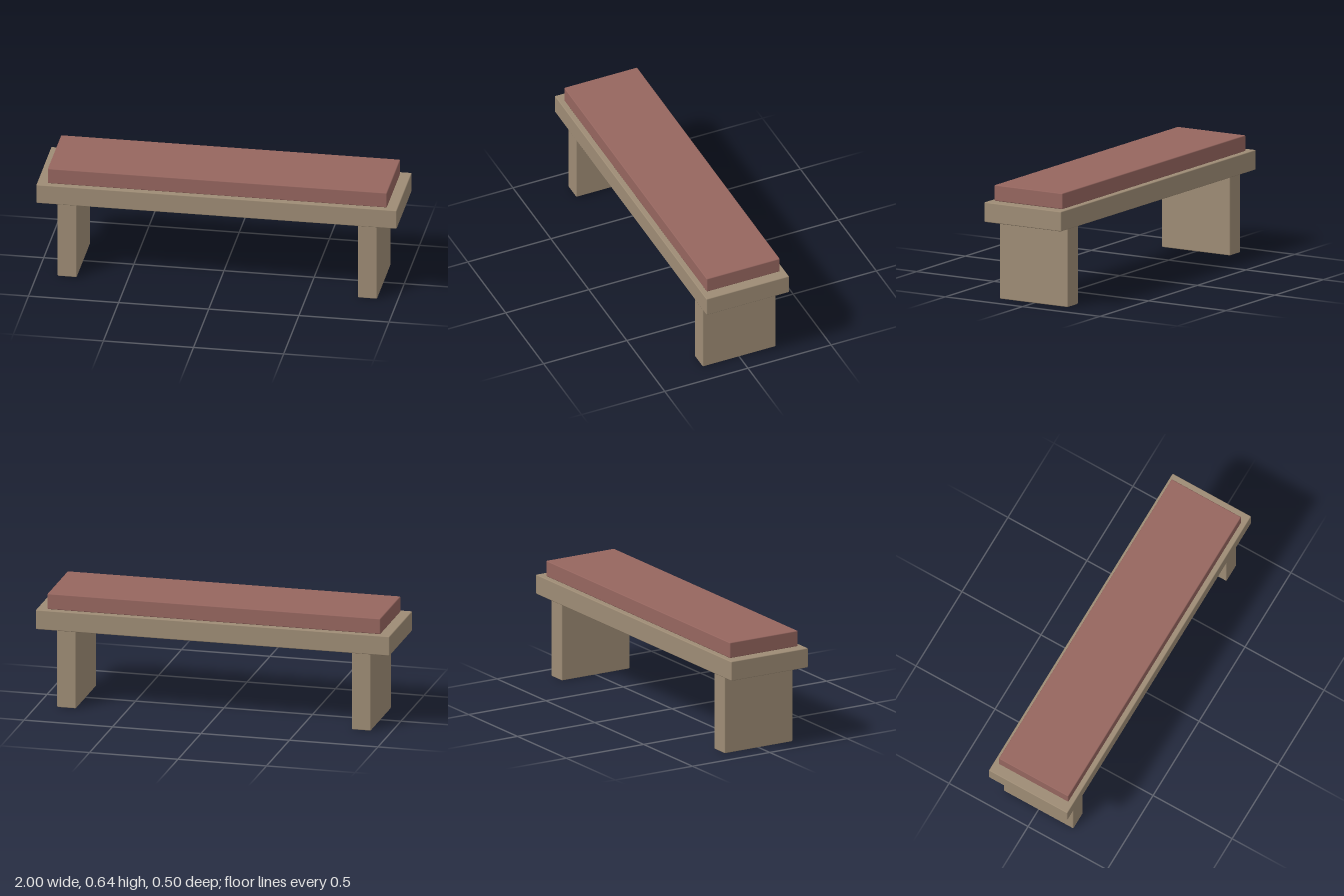
import * as THREE from 'three';
import { RoundedBoxGeometry } from 'three/addons/geometries/RoundedBoxGeometry.js';

const wood = new THREE.MeshStandardMaterial({ color: 0x9e8c75 });
wood.name = 'wood';
const fabric = new THREE.MeshStandardMaterial({ color: 0x96665f });
fabric.name = 'cushion fabric';

const EDGE = 0.005; // softened edge on every block

// Block with slightly eased edges, standing between two heights
function block(name, material, width, bottom, top, depth, x = 0) {
  const geometry = new RoundedBoxGeometry(width, top - bottom, depth, 1, EDGE);
  const mesh = new THREE.Mesh(geometry, material);
  mesh.name = name;
  mesh.position.set(x, (bottom + top) / 2, 0);
  return mesh;
}

export function createModel() {
  const bench = new THREE.Group();
  bench.name = 'bench';

  // Slab legs, mirrored
  for (const [name, side] of [['leftLeg', 1], ['rightLeg', -1]]) {
    bench.add(block(name, wood, 0.107, 0, 0.445, 0.44, side * 0.833));
  }

  // Seat plank and the cushion on top
  bench.add(block('seat', wood, 2, 0.445, 0.556, 0.497));
  bench.add(block('cushion', fabric, 1.882, 0.556, 0.645, 0.44));

  return bench;
}
